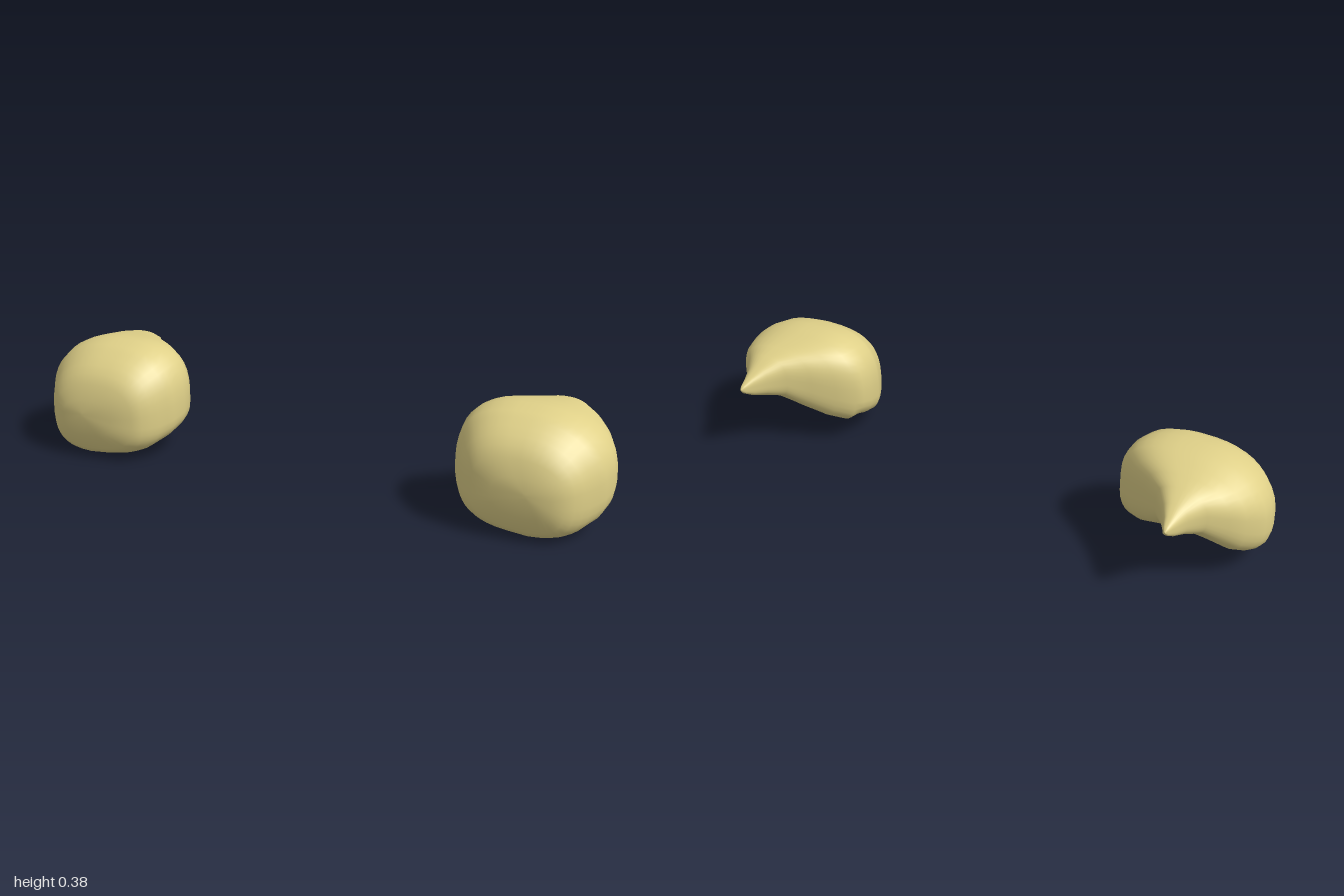
import * as THREE from 'three';

// Cross-sections from the blunt front to the pointed back:
// [z, xMin, xMax, yBottom, yWidest, yTop, arch of the hollow underside]
const SECTIONS = [
  [0.272, 0.77, 0.79, 0.15, 0.16, 0.17, 0],
  [0.268, 0.67, 0.86, 0.085, 0.15, 0.215, 0],
  [0.25, 0.60, 0.90, 0.033, 0.15, 0.267, 0],
  [0.23, 0.572, 0.922, 0.012, 0.15, 0.3, 0],
  [0.205, 0.55, 0.942, 0.003, 0.15, 0.322, 0],
  [0.18, 0.535, 0.957, 0.0, 0.15, 0.341, 0],
  [0.15, 0.518, 0.976, 0.008, 0.155, 0.357, 0.01],
  [0.125, 0.506, 0.99, 0.013, 0.16, 0.37, 0.02],
  [0.07, 0.497, 1.0, 0.028, 0.17, 0.379, 0.05],
  [0.03, 0.501, 0.997, 0.04, 0.18, 0.376, 0.07],
  [0.0, 0.515, 0.985, 0.05, 0.19, 0.372, 0.08],
  [-0.045, 0.565, 0.962, 0.078, 0.21, 0.361, 0.075],
  [-0.09, 0.635, 0.925, 0.13, 0.235, 0.351, 0.04],
  [-0.14, 0.70, 0.872, 0.19, 0.26, 0.338, 0.008],
  [-0.19, 0.742, 0.834, 0.213, 0.262, 0.314, 0],
  [-0.23, 0.768, 0.816, 0.228, 0.262, 0.293, 0],
  [-0.26, 0.783, 0.805, 0.247, 0.263, 0.277, 0],
  [-0.271, 0.792, 0.798, 0.26, 0.263, 0.266, 0],
];
const SIDES = 40;

// Ring with a round top leaning inwards and a squarer, lifted underside
function ringPoint([z, x0, x1, yb, ym, yt, arch], angle) {
  const c = Math.cos(angle), s = Math.sin(angle);
  const power = s > 0 ? 0.8 : 0.64;
  const u = Math.sign(c) * Math.abs(c) ** power;
  const v = Math.abs(s) ** power;
  const half = (x1 - x0) / 2;
  let x = (x0 + x1) / 2 + u * half;
  if (s > 0) return [x - 0.1 * half * v * v, ym + v * (yt - ym), z];
  let y = ym - v * (ym - yb) + v * arch * (1 - u * u) ** 2;
  if (z > 0) y += 0.1 * v * Math.max(0, 0.78 - x);
  return [x, y, z];
}

function capGeometry(side) {
  const positions = [], index = [];
  const tri = (a, b, c) => (side > 0 ? index.push(a, b, c) : index.push(a, c, b));
  const add = ([x, y, z]) => positions.push(side * x, y, z);
  for (const s of SECTIONS) {
    for (let j = 0; j < SIDES; j++) add(ringPoint(s, ((j + 0.5) / SIDES) * Math.PI * 2));
  }
  for (let i = 0; i < SECTIONS.length - 1; i++) {
    for (let j = 0; j < SIDES; j++) {
      const k = (j + 1) % SIDES;
      const a = i * SIDES + j, b = i * SIDES + k;
      tri(a, a + SIDES, b);
      tri(b, a + SIDES, b + SIDES);
    }
  }
  // Close both ends with a centre point
  const front = SECTIONS.length * SIDES, last = front - SIDES;
  for (const s of [SECTIONS[0], SECTIONS[SECTIONS.length - 1]]) add([(s[1] + s[2]) / 2, s[4], s[0]]);
  for (let j = 0; j < SIDES; j++) {
    const k = (j + 1) % SIDES;
    tri(front, j, k);
    tri(front + 1, last + k, last + j);
  }
  const g = new THREE.BufferGeometry();
  g.setAttribute('position', new THREE.Float32BufferAttribute(positions, 3));
  g.setIndex(index);
  g.computeVertexNormals();
  return g;
}

export function createModel() {
  const group = new THREE.Group();
  const material = new THREE.MeshStandardMaterial({ color: 0xdfd088 });
  material.name = 'pale straw';
  // Mirrored pair of rounded caps with a pointed tail
  for (const [name, side] of [['leftCap', 1], ['rightCap', -1]]) {
    const mesh = new THREE.Mesh(capGeometry(side), material);
    mesh.name = name;
    group.add(mesh);
  }
  return group;
}
